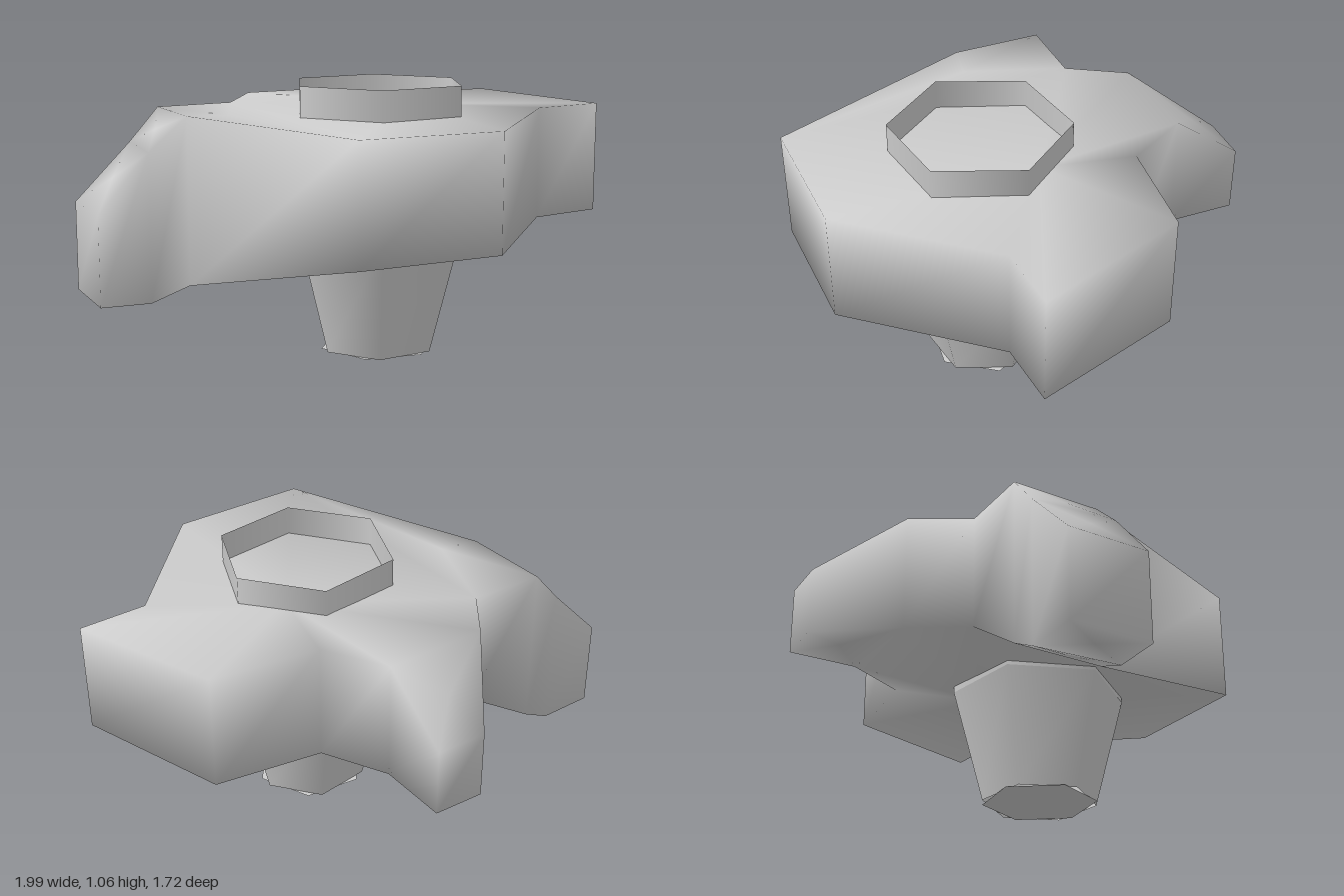
import * as THREE from 'three';

// Corner columns of the slab, in order around its outline: x, z, top y, bottom y
const corners = [
  [-1, -0.37, 0.57, 0.21],
  [-0.77, -0.37, 0.8, 0.21],
  [-0.65, -0.37, 0.935, 0.27],
  [-0.34, -0.36, 0.94, 0.47],
  [-0.18, -0.57, 0.955, 0.48],
  [0.04, -0.86, 0.75, 0.48],
  [0.24, -0.85, 0.75, 0.48],
  [0.24, -0.57, 0.96, 0.485],
  [0.37, -0.32, 0.955, 0.49],
  [0.8, -0.26, 0.96, 0.5],
  [0.99, 0.34, 0.945, 0.505],
  [0.71, 0.35, 0.94, 0.495],
  [0.24, 0.86, 0.93, 0.48],
  [-0.33, 0.86, 0.93, 0.475],
  [-0.65, 0, 0.935, 0.27],
  [-0.8, -0.02, 0.8, 0.21],
  [-1, -0.03, 0.57, 0.21],
];

// Regions of the slab, split along its folds: drooping arm, shoulder, hub, rear arm
const regions = [
  [0, 1, 15, 16],
  [1, 2, 14, 15],
  [2, 3, 13, 14],
  [3, 4, 7, 8, 9, 10, 11, 12, 13],
  [4, 5, 6, 7],
];

function slabGeometry() {
  const n = corners.length;
  const points = [];
  const index = [];
  // Even entries are the top of a column, odd entries its bottom
  for (const [x, z, top, bottom] of corners) points.push([x, top, z], [x, bottom, z]);

  // Side walls
  for (let i = 0; i < n; i++) {
    const a = 2 * i;
    const b = 2 * ((i + 1) % n);
    index.push(a, b, b + 1, a, b + 1, a + 1);
  }

  // Top and bottom, each region fanned from its middle
  for (const region of regions) {
    for (const side of [0, 1]) {
      const ring = region.map((i) => 2 * i + side);
      const middle = points.length;
      points.push([0, 1, 2].map((k) => ring.reduce((s, p) => s + points[p][k], 0) / ring.length));
      ring.forEach((p, i) => {
        const q = ring[(i + 1) % ring.length];
        if (side === 0) index.push(middle, q, p);
        else index.push(middle, p, q);
      });
    }
  }

  const geometry = new THREE.BufferGeometry();
  geometry.setAttribute('position', new THREE.Float32BufferAttribute(points.flat(), 3));
  geometry.setIndex(index);
  geometry.computeVertexNormals();
  return geometry;
}

export function createModel() {
  const group = new THREE.Group();
  const stone = new THREE.MeshStandardMaterial({ color: 0xcccccc, side: THREE.DoubleSide });
  stone.name = 'light grey';

  const add = (name, geometry, x = 0, y = 0, z = 0) => {
    const mesh = new THREE.Mesh(geometry, stone);
    mesh.name = name;
    mesh.position.set(x, y, z);
    group.add(mesh);
  };

  add('slab', slabGeometry());

  // Six-sided post: tapered foot, open straight collar through the slab, closed base
  const turn = 0.65;
  const wide = 0.353;
  const narrow = 0.232;
  const kneeY = 0.46;
  const topY = 1.055;
  const px = 0.07;
  const pz = 0.19;
  add('foot', new THREE.CylinderGeometry(wide, narrow, kneeY, 6, 1, true, turn), px, kneeY / 2, pz);
  add('collar', new THREE.CylinderGeometry(wide, wide, topY - kneeY, 6, 1, true, turn), px, (topY + kneeY) / 2, pz);
  const base = new THREE.CircleGeometry(narrow, 6, turn - Math.PI / 2);
  base.rotateX(Math.PI / 2);
  add('footBase', base, px, 0, pz);

  return group;
}
